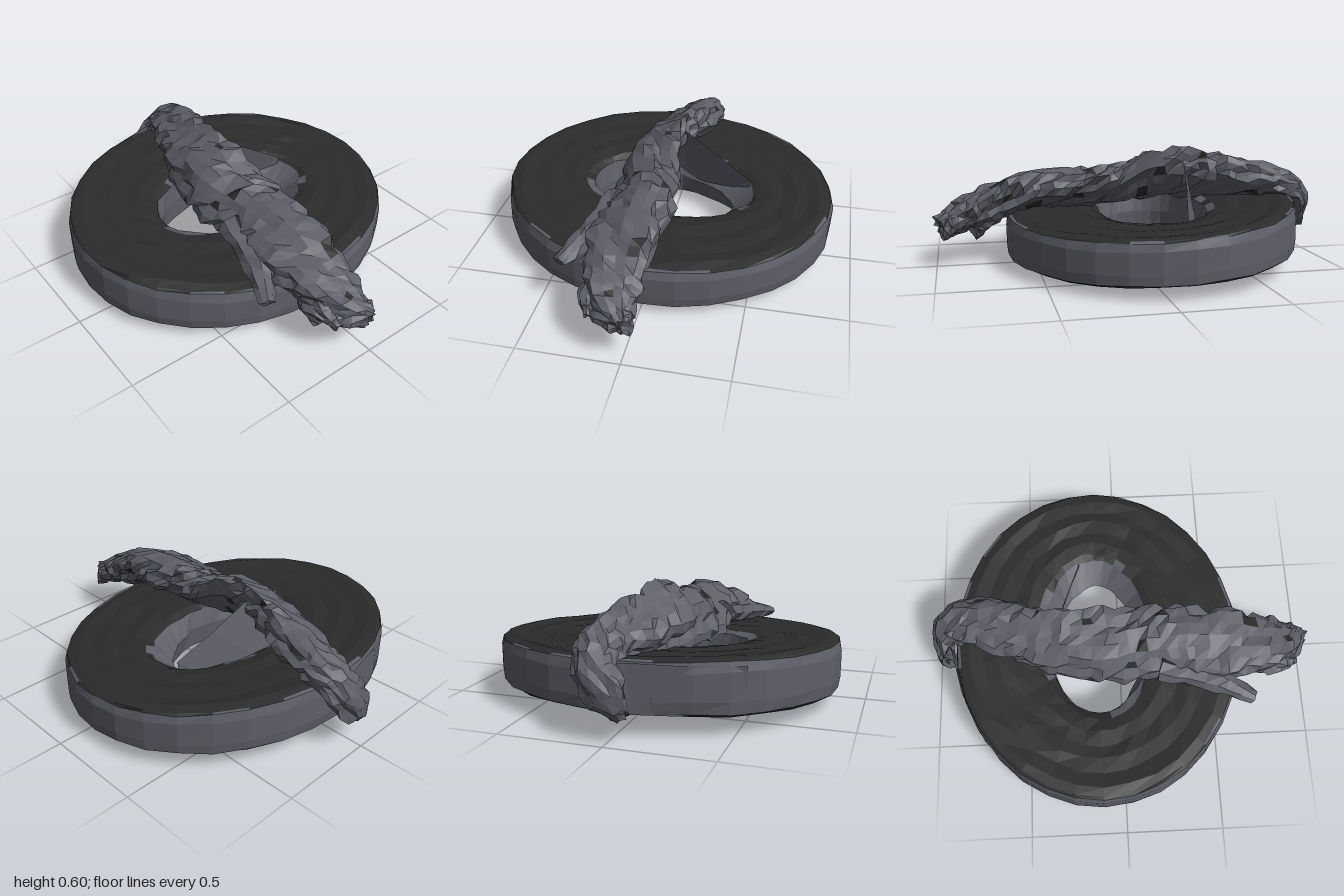
import * as THREE from 'three';

const V = (x, y, z) => new THREE.Vector3(x, y, z);
const noise = (a, b) => {
  const s = Math.sin(a * 127.1 + b * 311.7) * 43758.5453;
  return (s - Math.floor(s)) * 2 - 1;
};

// Skins rows of points with flat quads; pick(i, j) gives the material index of a quad
function loft(rows, pick = () => 0) {
  const buckets = [[], []];
  for (let i = 0; i < rows.length - 1; i++) {
    for (let j = 0; j < rows[i].length - 1; j++) {
      const a = rows[i][j], b = rows[i][j + 1], c = rows[i + 1][j], d = rows[i + 1][j + 1];
      for (const p of [a, b, c, b, d, c]) buckets[pick(i, j)].push(p);
    }
  }
  const g = new THREE.BufferGeometry().setFromPoints(buckets.flat());
  g.addGroup(0, buckets[0].length, 0);
  if (buckets[1].length) g.addGroup(buckets[0].length, buckets[1].length, 1);
  g.computeVertexNormals();
  return g;
}

// Tilted oval roll: cross-section carried around the hole
function rollGeometry() {
  // [0 = hole edge, 1 = outer edge], [0 = underside, 1 = top],
  // share of grey in the next strip, how far the back bulges into the hole, sag at the back
  const profile = [
    [0.55, -0.06, 0.12, 0, 0], [0.78, -0.03, 0, 0, 0], [0.95, 0.03, 0, 0, 0], [0.985, 0.08, 1, 0, 0],
    [1, 0.3, 1, 0, 0], [1, 0.8, 1, 0, 0], [0.975, 0.98, 0.3, 0, 0], [0.945, 1.01, 0, 0, 0],
    [0.85, 1.04, 0, 0, 0], [0.7, 1.0, 0, 0, 0], [0.55, 1.02, 0, 0, 0], [0.4, 0.98, 0, 0, 0],
    [0.25, 1.0, 0, 0, 0], [0.1, 0.95, 0.3, 0, 0], [0.02, 0.87, 1, 0, 0], [-0.03, 0.45, 1, 0.22, 0],
    [0, -0.02, 1, 0.06, 0.03], [0.15, -0.12, 0.9, 0, 0.035], [0.35, -0.08, 0.55, 0, 0.012],
    [0.55, -0.06, 0, 0, 0],
  ];
  const n = 32, rows = [];
  for (let i = 0; i <= n; i++) {
    const k = i % n, a = (k / n) * Math.PI * 2, c = Math.cos(a), s = Math.sin(a);
    const back = Math.max(0, -s);
    rows.push(profile.map(([t, v, , bulge, sag], j) => {
      const q = j % (profile.length - 1);
      const r = t + (t < 0.9 ? 0.02 : 0.005) * noise(k, q) - back * bulge;
      const x = THREE.MathUtils.lerp(-0.12 + 0.265 * c, -0.11 + 0.755 * c, r);
      const z = THREE.MathUtils.lerp(-0.02 + 0.43 * s, 0.88 * s, r);
      const low = 0.06 - 0.04 * (x + 0.1), high = 0.295 - 0.06 * (x + 0.1) + 0.025 * z;
      const y = low + (high - low) * v + 0.004 * noise(q, k) - back * sag;
      return V(x, Math.max(0, y), z);
    }));
  }
  return loft(rows, (i, j) => (noise(i + 7, j) + 1) / 2 < profile[j][2] ? 0 : 1);
}

// Crumpled twisted cloth; stations are [x, y, z, half width, half height, tilt towards the front]
function clothGeometry(stations, steps, sides, seed) {
  const path = new THREE.CatmullRomCurve3(stations.map(s => V(s[0], s[1], s[2])));
  const size = new THREE.CatmullRomCurve3(stations.map(s => V(s[3], s[4], s[5] ?? 0)));
  const rows = [];
  for (let i = 0; i <= steps; i++) {
    const t = i / steps, p = path.getPoint(t), r = size.getPoint(t), T = path.getTangent(t);
    const up = V(0, 0, 1).cross(T).normalize().applyAxisAngle(T, r.z);
    const side = T.clone().cross(up).normalize();
    const row = [];
    for (let j = 0; j <= sides; j++) {
      const k = j % sides, a = (k / sides) * Math.PI * 2;
      const f = 0.95 + 0.09 * Math.sin(4 * a + 13 * t + seed) + 0.15 * noise(i + seed * 50, k);
      row.push(p.clone()
        .addScaledVector(side, -Math.cos(a) * r.x * f)
        .addScaledVector(up, Math.sin(a) * r.y * f)
        .addScaledVector(T, 0.014 * noise(k, i + seed * 30)));
    }
    rows.push(row);
  }
  // Close both ends; a few folds show the dark side of the cloth
  const cap = row => row.map(() => row.slice(0, -1).reduce((m, p) => m.add(p), V(0, 0, 0)).divideScalar(sides));
  return loft([cap(rows[0]), ...rows, cap(rows[steps])], (i, j) => (noise(i + seed, j + 40) > 0.92 ? 1 : 0));
}

// Flat strip between an upper and a lower edge
const stripGeometry = (top, bottom) => loft(top.map((p, i) => [V(...bottom[i]), V(...p)]));

export function createModel() {
  const model = new THREE.Group();
  model.name = 'rolledCloth';
  const material = (name, color) => {
    const m = new THREE.MeshStandardMaterial({ color, flatShading: true, side: THREE.DoubleSide });
    m.name = name;
    return m;
  };
  const grey = material('slateGrey', 0x5e5e68);
  const dark = material('charcoal', 0x2b2b2b);
  const add = (name, geometry) => {
    const mesh = new THREE.Mesh(geometry, [grey, dark]);
    mesh.name = name;
    model.add(mesh);
  };

  add('roll', rollGeometry());

  // Loose end lying across the roll, leaning down towards the front
  add('twistedEnd', clothGeometry([
    [-0.92, 0.11, 0.06, 0.04, 0.03, 0], [-0.945, 0.2, 0.0, 0.09, 0.05, 0], [-0.89, 0.34, -0.07, 0.11, 0.07, 0.1],
    [-0.75, 0.39, -0.07, 0.13, 0.09, 0.35], [-0.55, 0.41, 0.0, 0.16, 0.1, 0.65], [-0.35, 0.43, 0.07, 0.18, 0.09, 0.75],
    [-0.15, 0.43, 0.1, 0.19, 0.09, 0.75], [0.08, 0.38, 0.09, 0.18, 0.09, 0.45], [0.3, 0.37, 0.08, 0.19, 0.1, 0.35],
    [0.5, 0.365, 0.09, 0.19, 0.1, 0.3], [0.7, 0.31, 0.09, 0.16, 0.1, 0.15], [0.86, 0.25, 0.07, 0.13, 0.08, 0],
    [0.975, 0.2, 0.01, 0.05, 0.06, 0],
  ], 48, 18, 1));

  // Ragged tails
  const tails = [
    [[0.2, 0.35, 0.2, 0.08, 0.06], [0.5, 0.31, 0.28, 0.07, 0.06], [0.68, 0.28, 0.37, 0.04, 0.03]],
    [[0.62, 0.3, 0.1, 0.07, 0.06], [0.74, 0.22, 0.14, 0.08, 0.06], [0.81, 0.12, 0.15, 0.04, 0.03]],
    [[0.82, 0.26, 0.03, 0.06, 0.06], [0.92, 0.21, 0.0, 0.06, 0.05], [0.96, 0.14, -0.01, 0.03, 0.02]],
    [[0.78, 0.28, 0.14, 0.06, 0.05], [0.86, 0.24, 0.17, 0.05, 0.05], [0.93, 0.2, 0.16, 0.02, 0.03]],
  ];
  tails.forEach((t, i) => add('raggedTail', clothGeometry(t, 8, 8, i + 2)));

  // Inner turn rising out of the hole to the loose end
  add('innerFold', stripGeometry(
    [[-0.2, 0.29, -0.43], [-0.25, 0.4, -0.24], [-0.29, 0.52, -0.04], [-0.3, 0.48, 0.06]],
    [[-0.22, 0.08, -0.4], [-0.3, 0.13, -0.24], [-0.36, 0.22, -0.04], [-0.37, 0.28, 0.06]]));

  // Outer turn leaving the roll towards the loose end
  add('outerFold', stripGeometry(
    [[-0.7, 0.32, 0.55], [-0.82, 0.33, 0.3], [-0.88, 0.34, 0.06], [-0.92, 0.33, -0.08]],
    [[-0.69, 0.1, 0.55], [-0.8, 0.1, 0.3], [-0.875, 0.11, 0.08], [-0.93, 0.18, -0.05]]));

  return model;
}
